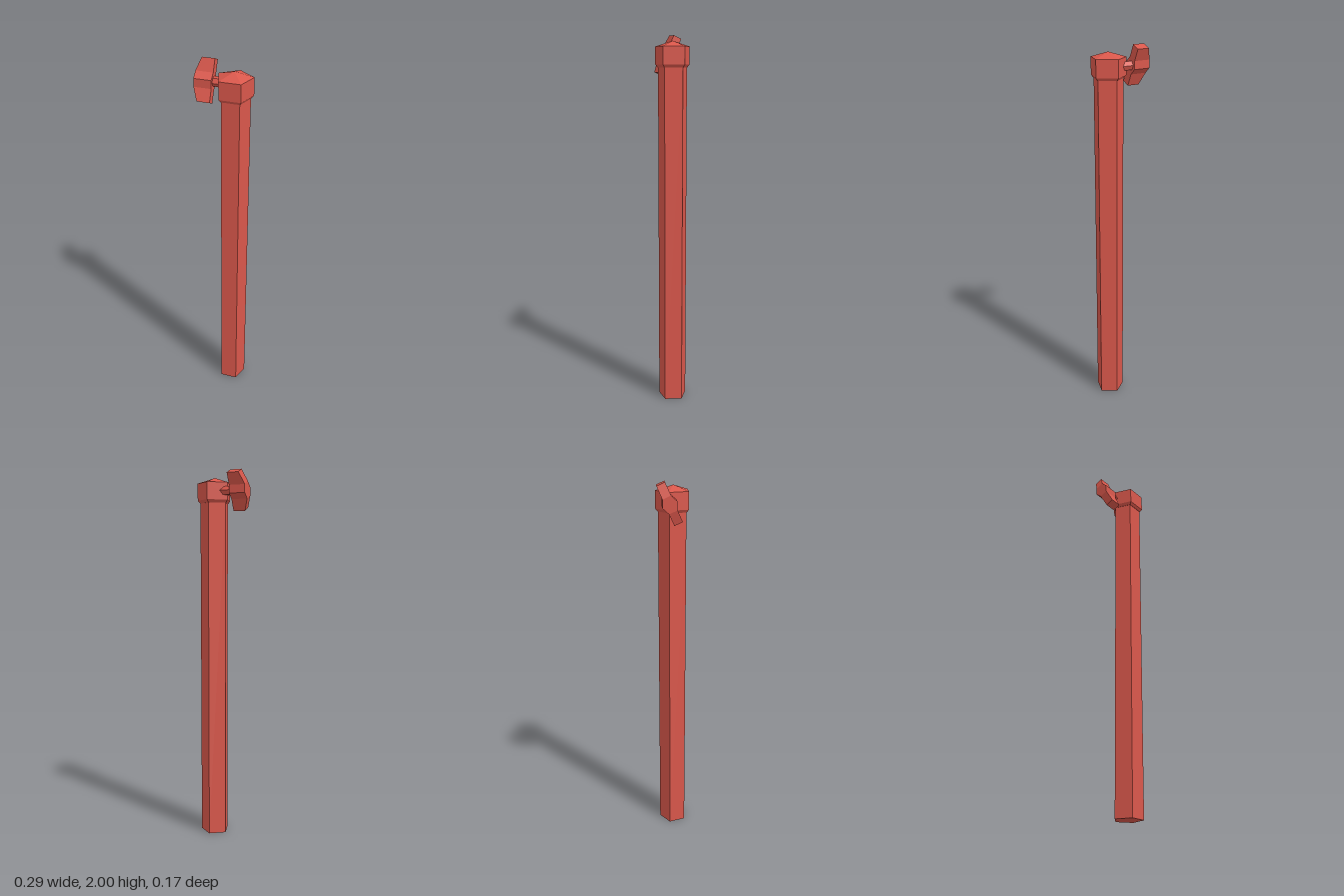
import * as THREE from 'three';

const red = new THREE.MeshStandardMaterial({ name: 'red', color: 0xd9574b, flatShading: true });

function add(parent, name, geometry) {
  const mesh = new THREE.Mesh(geometry, red);
  mesh.name = name;
  parent.add(mesh);
  return mesh;
}

const shapeOf = (points) => new THREE.Shape(points.map(([x, y]) => new THREE.Vector2(x, y)));
const extrude = (points, depth) =>
  new THREE.ExtrudeGeometry(shapeOf(points), { depth, bevelEnabled: false });

export function createModel() {
  const model = new THREE.Group();
  model.name = 'standpipe';

  // Five-sided post and cap, flat side to the front
  const column = new THREE.Group();
  column.name = 'column';
  column.position.set(0.056, 0, 0.008);
  column.rotation.y = Math.PI;
  model.add(column);
  add(column, 'post', new THREE.CylinderGeometry(0.079, 0.079, 1.84, 5).translate(0, 0.92, 0));
  const profile = [[0, 1.835], [0.081, 1.835], [0.094, 1.85], [0.094, 1.94], [0, 1.968]];
  add(column, 'cap', new THREE.LatheGeometry(profile.map(([r, y]) => new THREE.Vector2(r, y)), 5));

  // Tilted valve handle on the side
  const valve = new THREE.Group();
  valve.name = 'valve';
  valve.position.set(0, 1.895, -0.0215);
  valve.rotation.x = THREE.MathUtils.degToRad(-24.5);
  model.add(valve);

  const stem = new THREE.CylinderGeometry(0.025, 0.025, 0.12, 6);
  add(valve, 'stem', stem.rotateY(Math.PI / 6).rotateZ(Math.PI / 2).translate(0, 0, 0));

  // Six-sided hub
  const hub = extrude([
    [0.04, 0], [0.023, 0.0385], [-0.023, 0.0385],
    [-0.04, 0], [-0.023, -0.0385], [0.023, -0.0385],
  ], 0.09);
  add(valve, 'hub', hub.rotateY(-Math.PI / 2).translate(-0.058, 0, 0));

  // Two wings, cut back on the outer side
  for (const side of [1, -1]) {
    const wing = extrude([
      [-0.148, 0.0385], [-0.058, 0.0385], [-0.058, 0.105], [-0.124, 0.105],
    ], 0.046).translate(0, 0, -0.023);
    if (side < 0) wing.rotateX(Math.PI);
    add(valve, side > 0 ? 'upperWing' : 'lowerWing', wing);
  }

  return model;
}
